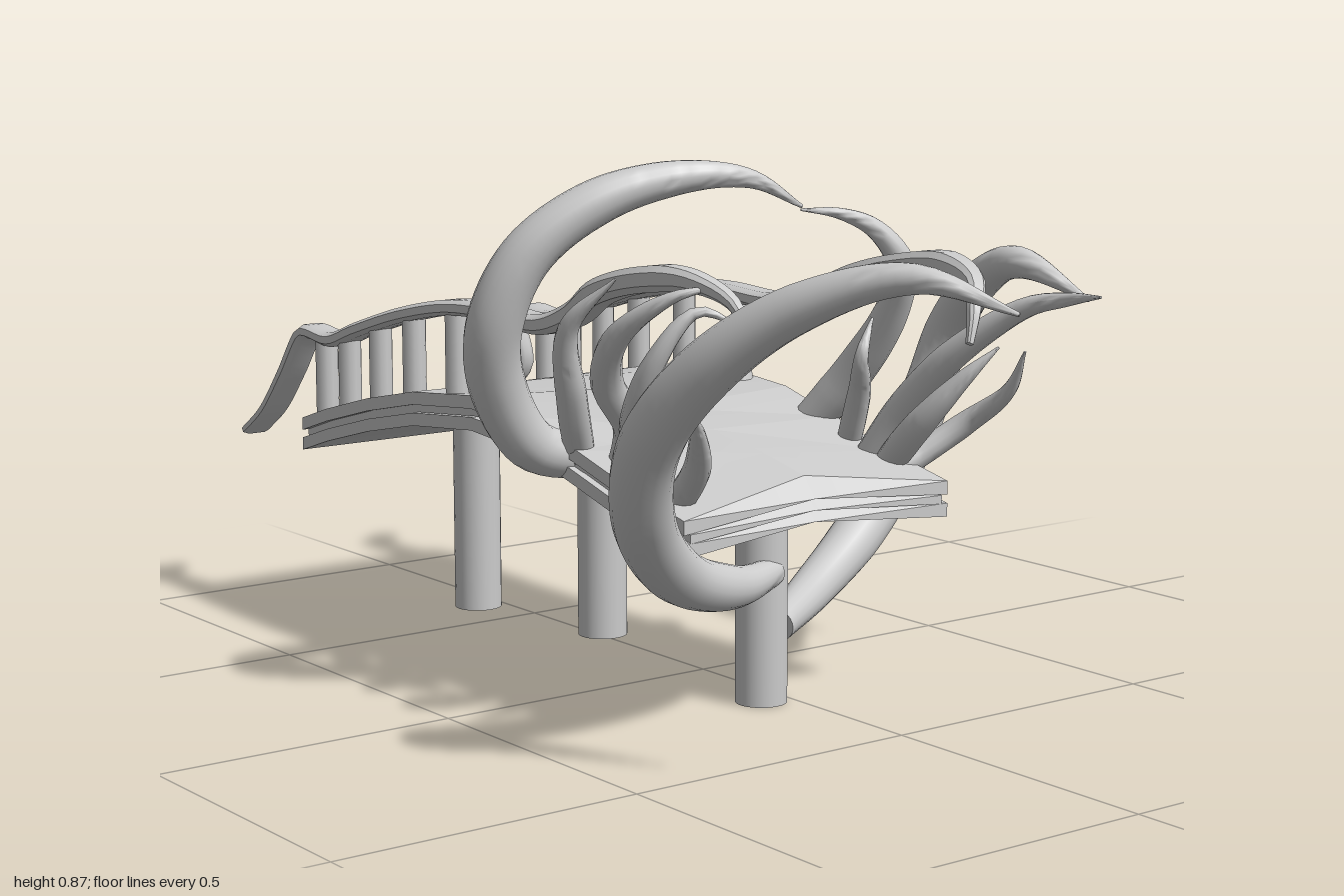
import * as THREE from 'three';
import { toCreasedNormals } from 'three/addons/utils/BufferGeometryUtils.js';

const material = new THREE.MeshStandardMaterial({ color: 0xcccccc });
const CX = -0.048, RAIL_X = 0.235; // bridge centre line, rail offset

// Joins equal-length rings (counter-clockwise seen from the end) into a closed solid
function loft(rings, crease) {
  const n = rings[0].length, pos = [], idx = [];
  rings.forEach(r => r.forEach(p => pos.push(p.x, p.y, p.z)));
  for (let i = 0; i < rings.length - 1; i++) {
    for (let j = 0; j < n; j++) {
      const a = i * n + j, b = i * n + (j + 1) % n;
      idx.push(a, b, a + n, b, b + n, a + n);
    }
  }
  const last = rings.length - 1;
  for (const [row, flip] of [[0, true], [last, false]]) {
    const c = new THREE.Vector3();
    rings[row].forEach(p => c.addScaledVector(p, 1 / n));
    const k = pos.length / 3;
    pos.push(c.x, c.y, c.z);
    for (let j = 0; j < n; j++) {
      const a = row * n + j, b = row * n + (j + 1) % n;
      if (flip) idx.push(k, b, a); else idx.push(k, a, b);
    }
  }
  const g = new THREE.BufferGeometry();
  g.setAttribute('position', new THREE.Float32BufferAttribute(pos, 3));
  g.setIndex(idx);
  return toCreasedNormals(g, crease);
}

const curveOf = pts => new THREE.CatmullRomCurve3(pts.map(p => new THREE.Vector3(...p)));

// Piecewise linear lookup over evenly spaced values
function lerpList(list, t) {
  const f = t * (list.length - 1), i = Math.min(Math.floor(f), list.length - 2);
  return list[i] + (list[i + 1] - list[i]) * (f - i);
}

// Round horn or tentacle with varying radius
function tentacle(pts, radii, steps = 40, sides = 14) {
  const curve = curveOf(pts), frames = curve.computeFrenetFrames(steps);
  const rings = [];
  for (let i = 0; i <= steps; i++) {
    const c = curve.getPointAt(i / steps), r = lerpList(radii, i / steps);
    rings.push(Array.from({ length: sides }, (_, j) => {
      const a = j / sides * Math.PI * 2;
      return c.clone().addScaledVector(frames.normals[i], r * Math.cos(a))
        .addScaledVector(frames.binormals[i], r * Math.sin(a));
    }));
  }
  return loft(rings, 1);
}

// Flattened handrail that stays level across its width
function railGeometry(pts) {
  const curve = curveOf(pts), steps = 90, rings = [];
  for (let i = 0; i <= steps; i++) {
    const t = i / steps, c = curve.getPointAt(t), T = curve.getTangentAt(t);
    const N = new THREE.Vector3(1, 0, 0).addScaledVector(T, -T.x).normalize();
    const B = T.clone().cross(N);
    const w = lerpList([0.027, 0.027, 0.027, 0.027, 0.027, 0.026, 0.026, 0.024, 0.006], t);
    const h = lerpList([0.009, 0.011, 0.013, 0.013, 0.013, 0.015, 0.02, 0.02, 0.005], t);
    rings.push([[1, -.5], [1, .5], [.6, 1], [-.6, 1], [-1, .5], [-1, -.5], [-.6, -1], [.6, -1]]
      .map(([u, v]) => c.clone().addScaledVector(N, u * w).addScaledVector(B, v * h)));
  }
  return loft(rings, 0.7);
}

// Deck stations: z, underside height at the edge, extra height of the centre line
const STATIONS = [[-0.775, 0.293, 0], [-0.69, 0.32, 0], [-0.55, 0.357, 0], [-0.4, 0.388, -0.003],
  [-0.22, 0.405, -0.015], [-0.05, 0.392, -0.012], [0.08, 0.358, 0.005], [0.22, 0.32, 0.025], [0.36, 0.291, 0.033]];

function deckLayer(low, high, half) {
  const rings = STATIONS.map(([z, y, crown], i) => {
    const mid = i === STATIONS.length - 1 ? z - 0.04 : z;
    return [[-half, low, 0], [0, low, crown], [half, low, 0], [half, high, 0], [0, high, crown], [-half, high, 0]]
      .map(([x, h, c]) => new THREE.Vector3(CX + x, y + h + c, x === 0 ? mid : z));
  });
  return loft(rings, 0.12);
}

function deckTop(z) {
  const i = Math.max(1, STATIONS.findIndex(s => s[0] >= z));
  const [z0, y0] = STATIONS[i - 1], [z1, y1] = STATIONS[i];
  return y0 + (y1 - y0) * (z - z0) / (z1 - z0) + 0.057;
}

export function createModel() {
  const group = new THREE.Group();
  const add = (name, geometry) => {
    const mesh = new THREE.Mesh(geometry, material);
    mesh.name = name;
    group.add(mesh);
    return mesh;
  };

  // Arched deck: two boards around a recessed core
  add('lowerDeck', deckLayer(0, 0.022, 0.262));
  add('deckCore', deckLayer(0.022, 0.036, 0.25));
  add('upperDeck', deckLayer(0.036, 0.058, 0.262));

  // Support columns along the centre line
  for (const [z, y0, y1] of [[0.215, 0, 0.35], [-0.22, 0.025, 0.41], [-0.61, 0, 0.355]]) {
    add('supportColumn', new THREE.CylinderGeometry(0.042, 0.042, y1 - y0, 24))
      .position.set(CX, (y0 + y1) / 2, z);
  }

  // Handrails: a shared straight run, then each side's own curled end
  const run = [[-1, 0.297], [-0.93, 0.345], [-0.86, 0.42], [-0.79, 0.502], [-0.765, 0.506], [-0.69, 0.5],
    [-0.6, 0.528], [-0.45, 0.57], [-0.3, 0.598], [-0.18, 0.603], [-0.04, 0.598]];
  const curls = {
    left: [[0.185, 0.615, 0.05], [0.165, 0.66, 0.18], [0.155, 0.69, 0.3], [0.15, 0.705, 0.42],
      [0.125, 0.69, 0.51], [0.09, 0.655, 0.55], [0.068, 0.605, 0.565]],
    right: [[-0.285, 0.625, 0.05], [-0.3, 0.67, 0.14], [-0.3, 0.7, 0.26], [-0.29, 0.705, 0.36],
      [-0.28, 0.68, 0.44], [-0.28, 0.64, 0.475]],
  };
  for (const [side, s] of [['left', 1], ['right', -1]]) {
    const x = CX + s * RAIL_X;
    add(side + 'Handrail', railGeometry([...run.map(([z, y]) => [x, y, z]), ...curls[side]]));
    // Straight balusters
    for (const [z, top] of [[-0.3, 0.595], [-0.435, 0.573], [-0.545, 0.545], [-0.65, 0.515], [-0.73, 0.502]]) {
      const y0 = deckTop(z) - 0.01;
      add(side + 'Baluster', new THREE.CylinderGeometry(0.02, 0.02, top - y0, 12))
        .position.set(x, (y0 + top) / 2, z);
    }
    // Kinked baluster
    add(side + 'BentBaluster', tentacle([[x, 0.44, -0.14], [x, 0.49, -0.145], [x - s * 0.01, 0.53, -0.12],
      [x, 0.6, -0.14]], [0.024, 0.019, 0.017, 0.021], 14, 10));
  }

  // Large horns sweeping round the front
  add('rightLowerHorn', tentacle([[-0.045, 0.215, 0.24], [-0.15, 0.213, 0.28], [-0.3, 0.26, 0.335],
    [-0.42, 0.37, 0.41], [-0.468, 0.5, 0.49], [-0.45, 0.62, 0.6], [-0.39, 0.715, 0.73],
    [-0.31, 0.76, 0.87], [-0.24, 0.72, 0.995]], [0.022, 0.038, 0.045, 0.047, 0.046, 0.042, 0.034, 0.022, 0.003], 60, 18));
  add('rightUpperHorn', tentacle([[-0.25, 0.39, 0.03], [-0.35, 0.42, 0.02], [-0.42, 0.52, 0.03],
    [-0.445, 0.62, 0.06], [-0.41, 0.73, 0.1], [-0.31, 0.81, 0.15], [-0.18, 0.843, 0.2],
    [-0.08, 0.835, 0.23], [0.002, 0.79, 0.25]], [0.035, 0.042, 0.045, 0.044, 0.04, 0.036, 0.028, 0.017, 0.003], 60, 18));
  add('leftLowerHorn', tentacle([[-0.012, 0.118, 0.21], [0.12, 0.148, 0.14], [0.27, 0.22, 0.085],
    [0.39, 0.32, 0.045], [0.46, 0.44, 0.04], [0.475, 0.54, 0.07], [0.455, 0.635, 0.17],
    [0.437, 0.675, 0.28], [0.46, 0.625, 0.42]], [0.028, 0.036, 0.043, 0.045, 0.044, 0.04, 0.035, 0.026, 0.003], 60, 18));
  add('leftUpperHorn', tentacle([[0.185, 0.38, 0.02], [0.225, 0.48, 0.1], [0.24, 0.6, 0.19],
    [0.225, 0.68, 0.23], [0.18, 0.74, 0.22], [0.12, 0.768, 0.2], [0.065, 0.775, 0.17]],
    [0.03, 0.035, 0.033, 0.028, 0.022, 0.013, 0.002]));

  // Slim tendrils growing from the deck edges
  const tendrils = [
    ['left', 0.025, [[0.18, 0.36, 0.2], [0.2, 0.45, 0.26], [0.22, 0.55, 0.36], [0.262, 0.635, 0.48],
      [0.275, 0.655, 0.56], [0.25, 0.67, 0.655]]],
    ['left', 0.02, [[0.185, 0.35, 0.26], [0.24, 0.385, 0.28], [0.29, 0.43, 0.32], [0.305, 0.49, 0.4], [0.292, 0.56, 0.45]]],
    ['left', 0.02, [[0.19, 0.37, 0.14], [0.165, 0.48, 0.2], [0.135, 0.545, 0.24], [0.165, 0.6, 0.23]]],
    ['left', 0.024, [[0.19, 0.36, 0.24], [0.18, 0.44, 0.33], [0.21, 0.52, 0.4], [0.245, 0.57, 0.44]]],
    ['right', 0.024, [[-0.26, 0.35, 0.22], [-0.32, 0.42, 0.27], [-0.37, 0.5, 0.32], [-0.375, 0.6, 0.38],
      [-0.33, 0.67, 0.42], [-0.28, 0.65, 0.45]]],
    ['right', 0.026, [[-0.25, 0.38, 0.12], [-0.27, 0.46, 0.17], [-0.335, 0.54, 0.2], [-0.365, 0.62, 0.27],
      [-0.33, 0.685, 0.36], [-0.28, 0.7, 0.4]]],
    ['right', 0.022, [[-0.26, 0.34, 0.26], [-0.28, 0.42, 0.35], [-0.33, 0.49, 0.42], [-0.37, 0.53, 0.46]]],
    ['right', 0.024, [[-0.28, 0.4, 0.05], [-0.33, 0.5, 0.1], [-0.37, 0.62, 0.15], [-0.34, 0.7, 0.23]]],
  ];
  for (const [side, r, pts] of tendrils) {
    add(side + 'Tendril', tentacle(pts, [r, r * 1.05, r, r * 0.8, r * 0.5, 0.002], 28, 12));
  }
  return group;
}
